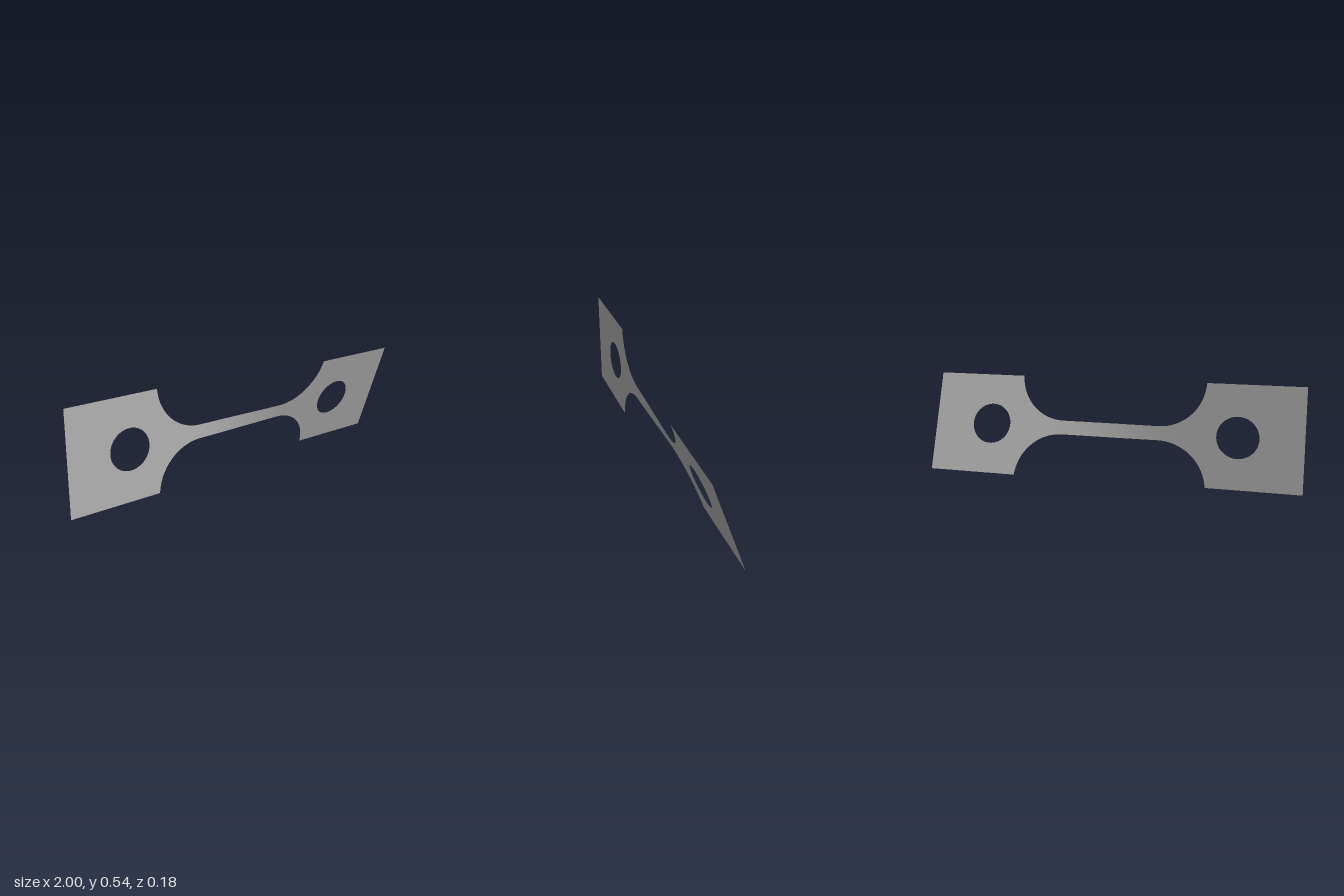
import * as THREE from 'three';

const HALF = 0.271;          // half height of the grips
const NECK = 0.037;          // half height of the gauge section
const RADIUS = 0.25;         // fillet radius
const NECK_END = 0.26;       // where the fillets begin
const GRIP_START = NECK_END + RADIUS;
const TWIST_FROM = THREE.MathUtils.degToRad(0.5);
const TWIST_TO = THREE.MathUtils.degToRad(19.4);

// Twist about the long axis, concentrated in the narrow neck
const twistAt = (x) =>
  THREE.MathUtils.lerp(TWIST_FROM, TWIST_TO, THREE.MathUtils.smoothstep(x, -0.36, 0.36));

function twist(geometry) {
  const p = geometry.attributes.position;
  for (let i = 0; i < p.count; i++) {
    const a = twistAt(p.getX(i));
    const h = p.getY(i);
    p.setXYZ(i, p.getX(i), HALF + h * Math.cos(a), h * Math.sin(a));
  }
  geometry.computeVertexNormals();
  return geometry;
}

// Half height of the waisted section: straight neck, then quarter-circle fillets
function halfHeight(x) {
  const d = Math.min(Math.max(Math.abs(x) - NECK_END, 0), RADIUS);
  return Math.min(NECK + RADIUS - Math.sqrt(RADIUS * RADIUS - d * d), HALF);
}

// Flat grip plate with a round pin hole
function gripGeometry(side) {
  const a = Math.min(side * GRIP_START, side);
  const b = Math.max(side * GRIP_START, side);
  const shape = new THREE.Shape([
    new THREE.Vector2(a, -HALF), new THREE.Vector2(b, -HALF),
    new THREE.Vector2(b, HALF), new THREE.Vector2(a, HALF),
  ]);
  const hole = new THREE.Path();
  hole.absarc(side * 0.67, 0, 0.108, 0, Math.PI * 2, true);
  shape.holes.push(hole);
  return twist(new THREE.ShapeGeometry(shape, 48));
}

// Waisted strip between the grips, with columns packed towards the steep fillet ends
function gaugeGeometry() {
  const geometry = new THREE.PlaneGeometry(2, 2, 120, 10);
  const p = geometry.attributes.position;
  for (let i = 0; i < p.count; i++) {
    const x = GRIP_START * Math.sin(p.getX(i) * Math.PI / 2);
    p.setXY(i, x, p.getY(i) * halfHeight(x));
  }
  return twist(geometry);
}

export function createModel() {
  const group = new THREE.Group();
  group.name = 'twistedTensileSpecimen';
  const metal = new THREE.MeshStandardMaterial({ color: 0xb4b4b4, side: THREE.DoubleSide });
  metal.name = 'grey metal';

  const add = (name, geometry) => {
    const mesh = new THREE.Mesh(geometry, metal);
    mesh.name = name;
    group.add(mesh);
  };
  add('leftGrip', gripGeometry(1));
  add('rightGrip', gripGeometry(-1));
  add('gaugeSection', gaugeGeometry());
  return group;
}
